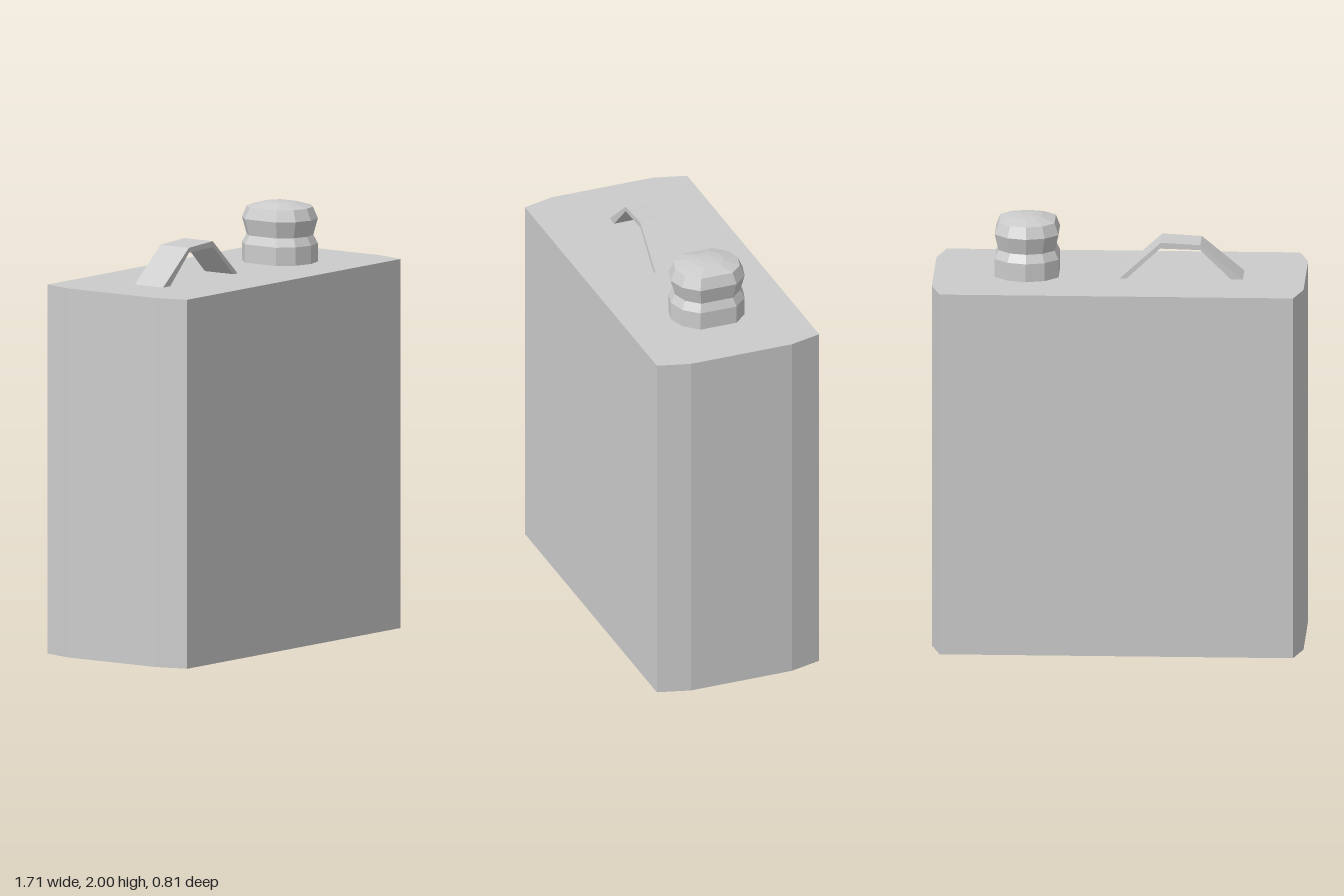
import * as THREE from 'three';

const material = new THREE.MeshStandardMaterial({ color: 0xcccccc, flatShading: true });

// Straight extrusion of a closed outline
function extrude(name, outline, depth) {
  const shape = new THREE.Shape(outline.map(([x, y]) => new THREE.Vector2(x, y)));
  const mesh = new THREE.Mesh(new THREE.ExtrudeGeometry(shape, { depth, bevelEnabled: false }), material);
  mesh.name = name;
  return mesh;
}

// Faceted oval cap: a 12-sided lathe whose two side corners are flattened
function createCap() {
  const profile = [[1, 1.72], [1, 1.805], [0.88, 1.845], [1, 1.922], [0.87, 1.975], [0.45, 1.995], [0.2, 2], [0, 2]];
  const geometry = new THREE.LatheGeometry(profile.map(([r, y]) => new THREE.Vector2(r, y)), 12);
  const pos = geometry.attributes.position;
  const flat = Math.cos(Math.PI / 6);
  for (let i = 0; i < pos.count; i++) {
    const x = pos.getX(i), z = pos.getZ(i);
    const limit = Math.hypot(x, z) * flat;
    pos.setX(i, THREE.MathUtils.clamp(x, -limit, limit));
  }
  geometry.scale(0.17, 1, 0.179);
  geometry.translate(0.427, 0, 0);
  geometry.computeVertexNormals();
  const cap = new THREE.Mesh(geometry, material);
  cap.name = 'cap';
  return cap;
}

export function createModel() {
  const group = new THREE.Group();
  group.name = 'canister';

  // Tall body with chamfered vertical corners
  const body = extrude('body', [
    [0.857, -0.25], [0.857, 0.25], [0.815, 0.403], [-0.815, 0.403],
    [-0.857, 0.25], [-0.857, -0.25], [-0.815, -0.403], [0.815, -0.403],
  ], 1.718);
  body.rotation.x = -Math.PI / 2;

  // Bent strap handle
  const handle = extrude('handle', [
    [-0.57, 1.718], [-0.516, 1.718], [-0.373, 1.857], [-0.188, 1.862],
    [-0.035, 1.718], [-0.002, 1.718], [-0.192, 1.89], [-0.374, 1.88],
  ], 0.164);
  handle.position.z = -0.084;

  group.add(body, handle, createCap());
  return group;
}
